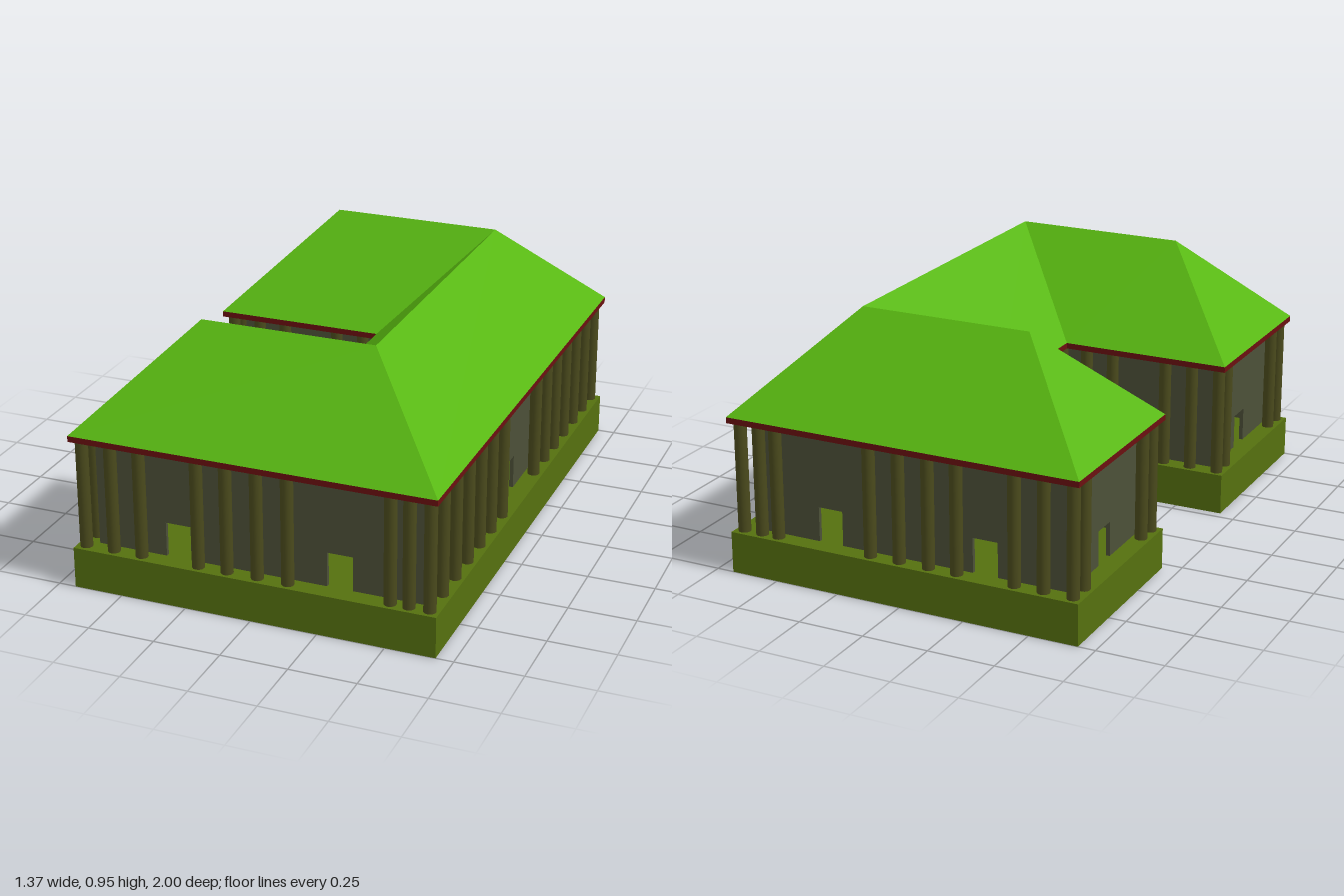
import * as THREE from 'three';

// Heights of the storeys
const BASE_TOP = 0.155, WALL_TOP = 0.57, EAVE_TOP = 0.592, RIDGE = 0.95, DOOR_TOP = 0.285;

// U-shaped footprint as [x, z] corners, drawn in by d on every side
function outline(d) {
  const w = 0.685 - d, l = 1 - d, n = 0.285 + d, i = -0.03 + d;
  return [[-w, l], [w, l], [w, -l], [-w, -l], [-w, -n], [i, -n], [i, n], [-w, n]];
}

// Doors and columns of each side, as world positions along that side
const longCols = [-0.54, -0.43, -0.21, -0.1, 0.015, 0.13, 0.507, 0.575];
const eastCols = [0.195, 0.325, 0.45, 0.58, 0.71, 0.84];
const endCols = [0.4, 0.88];
const innerCols = [-0.54, -0.43, -0.21, -0.1];
const neg = a => a.map(v => -v);
const sides = [
  { doors: [-0.302, 0.31], cols: longCols },
  { doors: [0], cols: [...eastCols, ...neg(eastCols)] },
  { doors: [0.31, -0.302], cols: longCols },
  { doors: [-0.64], cols: neg(endCols) },
  { doors: [-0.302], cols: innerCols },
  { doors: [0], cols: [-0.2, 0.2] },
  { doors: [-0.302], cols: innerCols },
  { doors: [0.64], cols: endCols },
];

const material = color => new THREE.MeshStandardMaterial({ color });

function addMesh(parent, name, geometry, mat) {
  const mesh = new THREE.Mesh(geometry, mat);
  mesh.name = name;
  parent.add(mesh);
  return mesh;
}

// Flat slab with the footprint's shape
function slab(y0, y1) {
  const shape = new THREE.Shape(outline(0).map(([x, z]) => new THREE.Vector2(x, -z)));
  return new THREE.ExtrudeGeometry(shape, { depth: y1 - y0, bevelEnabled: false })
    .rotateX(-Math.PI / 2).translate(0, y0, 0);
}

// Hip roof: each eave edge rises to the ridge line
function hipRoof() {
  const low = outline(0), high = outline(0.3575), pos = [];
  low.forEach((_, i) => {
    const j = (i + 1) % low.length;
    const a = [low[i][0], EAVE_TOP, low[i][1]], b = [low[j][0], EAVE_TOP, low[j][1]];
    const c = [high[j][0], RIDGE, high[j][1]], d = [high[i][0], RIDGE, high[i][1]];
    pos.push(...a, ...b, ...c);
    if (Math.hypot(c[0] - d[0], c[2] - d[2]) > 0.001) pos.push(...a, ...c, ...d);
  });
  const geo = new THREE.BufferGeometry();
  geo.setAttribute('position', new THREE.Float32BufferAttribute(pos, 3));
  geo.computeVertexNormals();
  return geo;
}

// Wall panel from a to b with door openings cut up from the floor
function wallPanel(a, b, doors) {
  const dx = b[0] - a[0], dz = b[1] - a[1], length = Math.hypot(dx, dz);
  const start = Math.abs(dx) > Math.abs(dz) ? a[0] : a[1];
  const half = 0.048, thick = 0.015;
  const shape = new THREE.Shape().moveTo(0, BASE_TOP);
  doors.map(p => Math.abs(p - start)).forEach(s => {
    shape.lineTo(s - half, BASE_TOP).lineTo(s - half, DOOR_TOP);
    shape.lineTo(s + half, DOOR_TOP).lineTo(s + half, BASE_TOP);
  });
  shape.lineTo(length, BASE_TOP).lineTo(length, WALL_TOP).lineTo(0, WALL_TOP);
  return new THREE.ExtrudeGeometry(shape, { depth: thick, bevelEnabled: false })
    .translate(0, 0, -thick)
    .rotateY(Math.atan2(-dz, dx))
    .translate(a[0], 0, a[1]);
}

export function createModel() {
  const model = new THREE.Group();
  model.name = 'courtyardHall';

  addMesh(model, 'base', slab(0, BASE_TOP), material(0x55700f));
  addMesh(model, 'eave', slab(WALL_TOP, EAVE_TOP), material(0x6a1010));
  addMesh(model, 'roof', hipRoof(), material(0x58b810));

  // Walls with doorways
  const walls = new THREE.Group();
  walls.name = 'walls';
  const wallMat = material(0x4c5038);
  const wallLine = outline(0.07);
  sides.forEach(({ doors }, i) => {
    addMesh(walls, 'wall', wallPanel(wallLine[i], wallLine[(i + 1) % 8], doors), wallMat);
  });
  model.add(walls);

  // Colonnade: one column at each corner and the rest along the sides
  const colonnade = new THREE.Group();
  colonnade.name = 'colonnade';
  const height = WALL_TOP - BASE_TOP;
  const columnGeo = new THREE.CylinderGeometry(0.023, 0.023, height, 12);
  const columnMat = material(0x4a4a1c);
  const addColumn = (x, z) =>
    addMesh(colonnade, 'column', columnGeo, columnMat).position.set(x, BASE_TOP + height / 2, z);
  const columnLine = outline(0.035);
  sides.forEach(({ cols }, i) => {
    const a = columnLine[i], alongX = i % 2 === 0;
    addColumn(a[0], a[1]);
    cols.forEach(p => (alongX ? addColumn(p, a[1]) : addColumn(a[0], p)));
  });
  model.add(colonnade);

  return model;
}
